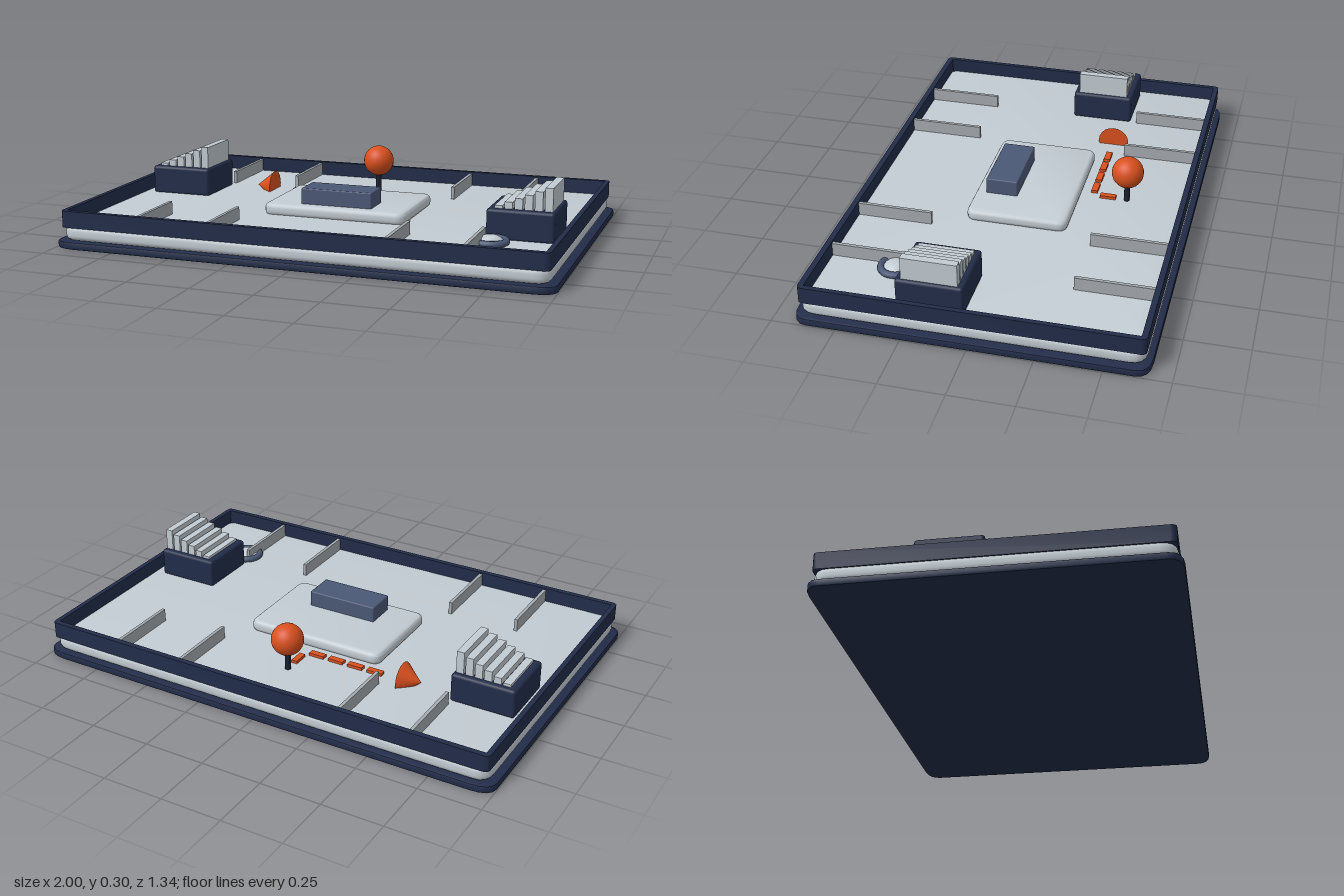
import * as THREE from 'three';
import { toCreasedNormals } from 'three/addons/utils/BufferGeometryUtils.js';
import { RoundedBoxGeometry } from 'three/addons/geometries/RoundedBoxGeometry.js';

const material = (name, color) => {
  const m = new THREE.MeshStandardMaterial({ color });
  m.name = name;
  return m;
};

// Outline of a rectangle with softened corners
function roundedRect(w, d, rx, rz, Type = THREE.Shape) {
  const x = w / 2, z = d / 2, s = new Type();
  s.moveTo(-x + rx, -z);
  s.lineTo(x - rx, -z);
  s.quadraticCurveTo(x, -z, x, -z + rz);
  s.lineTo(x, z - rz);
  s.quadraticCurveTo(x, z, x - rx, z);
  s.lineTo(-x + rx, z);
  s.quadraticCurveTo(-x, z, -x, z - rz);
  s.lineTo(-x, -z + rz);
  s.quadraticCurveTo(-x, -z, -x + rx, -z);
  return s;
}

// Horizontal slab from y0 to y1 with rolled edges
function slabGeometry(w, d, y0, y1, rx, rz, bevel, steps) {
  const shape = roundedRect(w - 2 * bevel, d - 2 * bevel, rx, rz);
  const g = new THREE.ExtrudeGeometry(shape, {
    depth: y1 - y0 - 2 * bevel, bevelEnabled: true, bevelSize: bevel,
    bevelThickness: bevel, bevelSegments: steps, curveSegments: 4,
  });
  g.rotateX(-Math.PI / 2).translate(0, y0 + bevel, 0);
  return toCreasedNormals(g, 0.7);
}

export function createModel() {
  const model = new THREE.Group();
  const navy = material('navy', 0x222d4a);
  const pale = material('paleGrey', 0xc3ccd3);
  const grey = material('dividerGrey', 0xa6abb0);
  const slate = material('slateBlue', 0x4b5876);
  const orange = material('orange', 0xd9501e);
  const dark = material('poleDark', 0x1a2030);

  const add = (name, geometry, mat, x = 0, y = 0, z = 0, parent = model) => {
    const mesh = new THREE.Mesh(geometry, mat);
    mesh.name = name;
    mesh.position.set(x, y, z);
    parent.add(mesh);
    return mesh;
  };
  const box = (w, h, d) => new THREE.BoxGeometry(w, h, d);

  // Base plate and floor slab
  add('basePlate', slabGeometry(2, 1.34, 0, 0.03, 0.08, 0.05, 0.006, 2), navy);
  add('floorSlab', slabGeometry(1.95, 1.3, 0.03, 0.09, 0.04, 0.04, 0.022, 5), pale);

  // Surrounding wall
  const wall = roundedRect(1.95, 1.3, 0.022, 0.022);
  wall.holes.push(roundedRect(1.91, 1.255, 0.004, 0.004, THREE.Path));
  const wallGeometry = new THREE.ExtrudeGeometry(wall, { depth: 0.067, bevelEnabled: false, curveSegments: 4 });
  wallGeometry.rotateX(-Math.PI / 2);
  add('rimWall', toCreasedNormals(wallGeometry, 0.6), navy, 0, 0.083, 0);

  // Dividers along both long walls
  for (const x of [-0.656, -0.358, 0.358, 0.656])
    for (const side of [-1, 1])
      add('divider', box(0.014, 0.055, 0.305), grey, x, 0.1155, side * 0.475);

  // Raised centre pad and block
  add('centrePad', slabGeometry(0.6, 0.41, 0.085, 0.135, 0.02, 0.02, 0.018, 4), pale, 0, 0, -0.005);
  add('centreBlock', new RoundedBoxGeometry(0.3, 0.07, 0.13, 2, 0.005), slate, 0, 0.165, 0.09);

  // Racks holding stepped panels
  for (const [x, z] of [[-0.785, -0.165], [0.785, 0.16]]) {
    const rack = new THREE.Group();
    rack.name = 'rack';
    rack.position.set(x, 0, z);
    model.add(rack);
    add('rackBox', new RoundedBoxGeometry(0.264, 0.12, 0.26, 2, 0.012), navy, 0, 0.146, 0, rack);
    for (let i = 0; i < 6; i++) {
      const top = 0.217 + i * 0.016;
      add('rackPanel', box(0.031, top - 0.15, 0.215), pale, -0.088 + i * 0.0385, (top + 0.15) / 2, 0, rack);
    }
  }

  // Marker pin
  add('pinPole', new THREE.CylinderGeometry(0.012, 0.012, 0.09, 12), dark, 0, 0.13, -0.4);
  add('pinHead', new THREE.SphereGeometry(0.065, 24, 16), orange, 0, 0.222, -0.4);

  // Dashed route ending in an arrowhead
  add('routeDash', box(0.025, 0.012, 0.065), orange, 0, 0.096, -0.322);
  for (let i = 0; i < 4; i++)
    add('routeDash', box(0.065, 0.012, 0.026), orange, -0.053 - i * 0.0873, 0.096, -0.26);
  add('routeArrow', new THREE.ConeGeometry(0.065, 0.08, 20).rotateZ(Math.PI / 2), orange, -0.476, 0.106, -0.26);

  // Round button with collar
  add('buttonCollar', new THREE.TorusGeometry(0.06, 0.014, 10, 28).rotateX(Math.PI / 2), slate, 0.69, 0.1, 0.36);
  add('buttonDome', new THREE.SphereGeometry(0.052, 24, 12).scale(1, 0.6, 1), pale, 0.69, 0.094, 0.36);

  return model;
}
